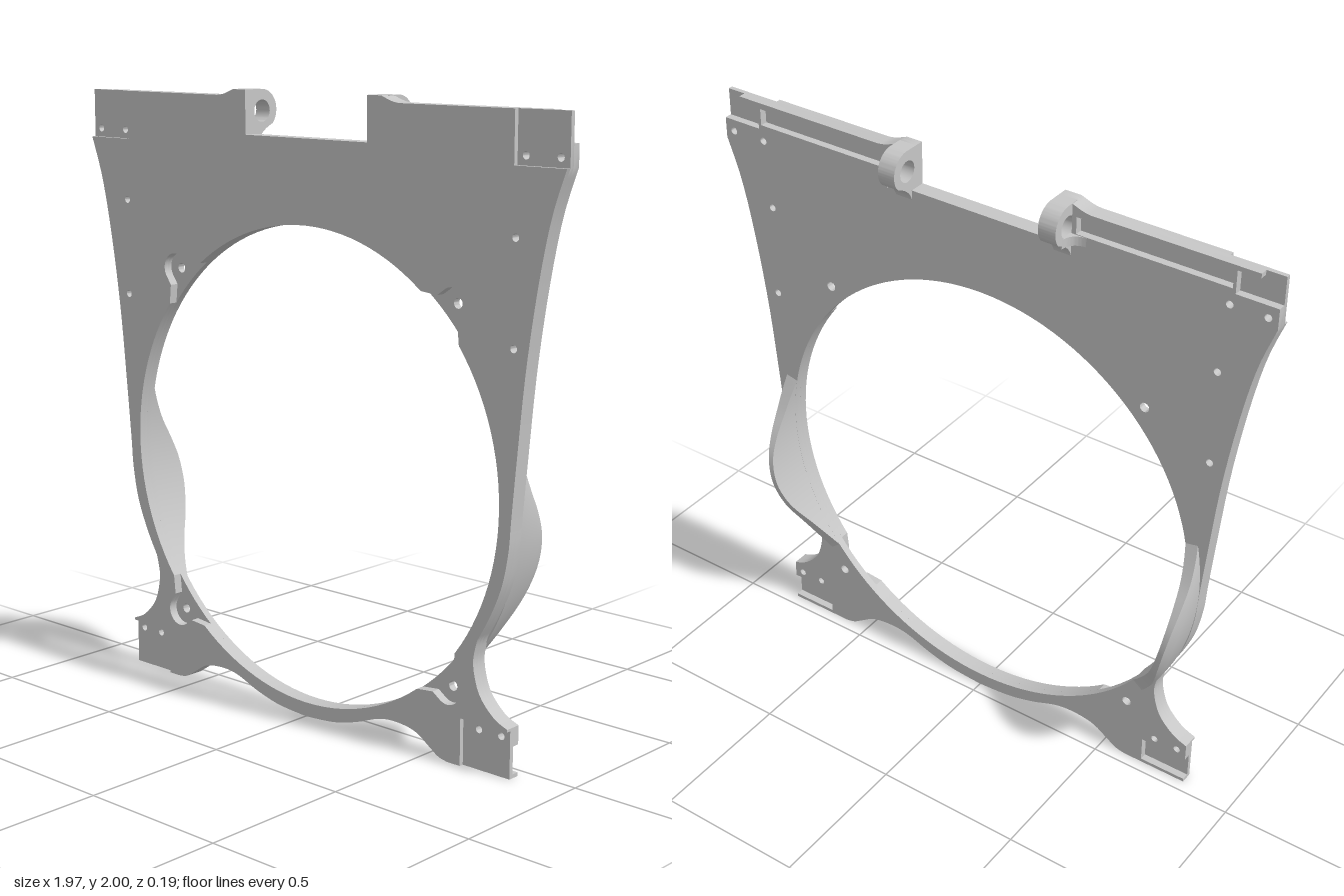
import * as THREE from 'three';
import { toCreasedNormals, mergeVertices } from 'three/addons/utils/BufferGeometryUtils.js';

const V = (x, y) => new THREE.Vector2(x, y);
const CY = 0.82, R = 0.773; // centre height and radius of the round opening

const spline = (pts, n = 24) => new THREE.SplineCurve(pts.map(p => V(...p))).getPoints(n);
const line = pts => pts.map(p => V(...p));

// Right half of the outline, in pieces around the foot and the top corner
const bottomCurve = spline([[0, 0], [0.12, 0.01], [0.22, 0.035], [0.31, 0.068], [0.38, 0.077],
  [0.46, 0.066], [0.52, 0.03], [0.555, 0.008], [0.59, 0]], 36);
const sideCurve = [
  ...spline([[0.818, 0.16], [0.765, 0.185], [0.71, 0.245], [0.686, 0.33], [0.694, 0.39]], 16),
  ...spline([[0.7, 0.41], [0.745, 0.49], [0.787, 0.59], [0.81, 0.7], [0.818, 0.8], [0.836, 1.0],
    [0.86, 1.24], [0.896, 1.48], [0.938, 1.68], [0.987, 1.822]], 32)];

function outline(foot, corner, lug) {
  const half = [...bottomCurve, ...line(foot), ...sideCurve, ...line(corner),
    ...spline([[0.38, 1.98], [0.35, 1.985], [0.31, 2.0]], 5), ...line(lug)];
  const mirrored = half.slice(1).reverse().map(p => V(-p.x, p.y));
  return new THREE.Shape([...half, ...mirrored]);
}

// Round opening, optionally widened by four boss pockets
function opening(pockets) {
  const pts = [];
  if (!pockets) {
    for (let i = 0; i < 128; i++) {
      const a = i / 128 * Math.PI * 2;
      pts.push(V(R * Math.cos(a), CY + R * Math.sin(a)));
    }
    return new THREE.Path(pts);
  }
  const profile = [[0.792, -0.072], [0.806, -0.055]];
  for (let i = 0; i <= 12; i++) {
    const a = -Math.PI / 2 + 0.25 * (1 - i / 6) + i / 12 * Math.PI;
    profile.push([0.831 + 0.05 * Math.cos(a), 0.05 * Math.sin(a)]);
  }
  profile.push([0.806, 0.055], [0.792, 0.072]);
  for (let q = 0; q < 4; q++) {
    const mid = Math.PI / 4 + q * Math.PI / 2, c = Math.cos(mid), s = Math.sin(mid);
    for (const [r, t] of profile) pts.push(V(r * c - t * s, CY + r * s + t * c));
    for (let i = 0; i <= 26; i++) {
      const a = mid + 0.135 + (Math.PI / 2 - 0.27) * i / 26;
      pts.push(V(R * Math.cos(a), CY + R * Math.sin(a)));
    }
  }
  return new THREE.Path(pts);
}

function drill(shape, spots, r) {
  for (const [x, y] of spots) for (const s of [1, -1])
    shape.holes.push(new THREE.Path().absarc(s * x, y, r, 0, Math.PI * 2, true));
}

function extrude(shape, depth) {
  const g = new THREE.ExtrudeGeometry(shape, { depth, bevelEnabled: false, curveSegments: 16 });
  return toCreasedNormals(g, 0.5);
}

// Raised guard behind the rim, swept along the opening with a bell-shaped height
function guardGeometry() {
  const crest = new THREE.SplineCurve(line([[0.33, 0.04], [0.38, 0.015], [0.44, -0.018],
    [0.52, -0.065], [0.59, -0.089], [0.65, -0.095], [0.72, -0.084], [0.79, -0.053],
    [0.86, -0.013], [0.92, 0.015], [0.98, 0.04]]));
  const N = 48, K = 5, pos = [], idx = [];
  for (let i = 0; i <= N; i++) {
    const { x: y, y: z } = crest.getPoint(i / N);
    const a = Math.asin((y - CY) / 0.79), h = (0.043 - z) / 0.138;
    const section = [[R, 0.043], [R + 0.012 * h, z], [0.817 - 0.014 * h, z],
      [0.817, 0.043 - 0.1 * h], [0.817, 0.043]];
    for (const [r, d] of section) pos.push(r * Math.cos(a), CY + r * Math.sin(a), d);
    if (i < N) for (let k = 0; k < K; k++) {
      const A = i * K + k, B = i * K + (k + 1) % K;
      idx.push(A, A + K, B, B, A + K, B + K);
    }
  }
  const e = N * K;
  for (let k = 1; k < K - 1; k++) idx.push(0, k, k + 1, e, e + k + 1, e + k);
  const g = new THREE.BufferGeometry();
  g.setAttribute('position', new THREE.Float32BufferAttribute(pos, 3));
  g.setIndex(idx);
  return toCreasedNormals(g, 0.6);
}

// Hinge eye profile, drawn with z across and y up
function lugGeometry() {
  const s = new THREE.Shape();
  s.moveTo(-0.066, 1.82);
  s.lineTo(-0.066, 2.0);
  s.lineTo(-0.02, 2.0);
  s.absarc(-0.02, 1.935, 0.065, Math.PI / 2, -0.75, true);
  s.quadraticCurveTo(-0.035, 1.865, -0.042, 1.82);
  s.closePath();
  s.holes.push(new THREE.Path().absarc(-0.02, 1.932, 0.035, 0, Math.PI * 2, true));
  return extrude(s, 0.06).rotateY(Math.PI / 2);
}

// Curved web between the hinge eye and the plate, drawn in x and z
function filletGeometry() {
  const s = new THREE.Shape();
  s.moveTo(0.31, -0.045);
  s.lineTo(0.365, -0.045);
  s.lineTo(0.365, -0.04);
  s.quadraticCurveTo(0.317, -0.036, 0.315, 0.01);
  s.lineTo(0.31, 0.01);
  s.closePath();
  return extrude(s, 0.03).rotateX(-Math.PI / 2).translate(0, 1.873, 0);
}

// Mirrors a geometry across x and restores the face order
function mirrorX(geometry) {
  const g = mergeVertices(geometry.clone().scale(-1, 1, 1)), ix = g.index.array;
  for (let i = 0; i < ix.length; i += 3) [ix[i], ix[i + 1]] = [ix[i + 1], ix[i]];
  g.deleteAttribute('normal');
  return toCreasedNormals(g, 0.5);
}

export function createModel() {
  const model = new THREE.Group();
  model.name = 'mountingFrame';
  const grey = new THREE.MeshStandardMaterial({ color: 0xc6c6c6, side: THREE.DoubleSide });
  grey.name = 'lightGrey';
  const add = (name, geometry, z = 0) => {
    const m = new THREE.Mesh(geometry, grey);
    m.name = name;
    m.position.z = z;
    model.add(m);
  };

  const sideHoles = [[0.815, 1.62], [0.815, 1.302]];
  const padHoles = [[0.955, 1.851], [0.835, 1.851], [0.7, 0.128], [0.785, 0.128]];
  const bossHoles = [[0.587, 1.407], [0.587, 0.235]];
  const fullFoot = [[0.818, 0], [0.818, 0.155]], fullCorner = [[0.987, 1.98]];
  const notch = [[0.255, 2.0], [0.255, 1.86]];

  // Back layer: foot pockets with a lower lip, corner pockets and rod grooves cut in
  const back = outline([[0.818, 0], [0.818, 0.012], [0.655, 0.012], [0.655, 0.1], [0.818, 0.1]],
    [[0.987, 1.89], [0.85, 1.89], [0.85, 1.965], [0.923, 1.965], [0.923, 1.98]],
    [[0.315, 2.0], [0.315, 1.87], [0.255, 1.87], [0.255, 1.86]]);
  back.holes.push(opening(false));
  for (const s of [1, -1])
    back.holes.push(new THREE.Path(line([[s * 0.33, 1.905], [s * 0.84, 1.905], [s * 0.84, 1.96], [s * 0.33, 1.96]])));
  drill(back, [...sideHoles, ...padHoles], 0.012);
  drill(back, bossHoles, 0.016);
  add('backLayer', extrude(back, 0.025), 0.04);

  // Middle layer: floor of the front pad recesses
  const middle = outline(fullFoot, fullCorner, notch);
  middle.holes.push(opening(true));
  drill(middle, [...sideHoles, ...padHoles], 0.012);
  add('middleLayer', extrude(middle, 0.015), 0.065);

  // Front layer: open around the corner and foot pads
  const front = outline([[0.64, 0], [0.64, 0.152], [0.818, 0.152]],
    [[0.805, 1.822], [0.805, 1.98]], notch);
  front.holes.push(opening(true));
  drill(front, sideHoles, 0.012);
  add('frontLayer', extrude(front, 0.015), 0.08);

  // Paired hinge eyes, webs and rim guards
  const pairs = {
    HingeEye: lugGeometry().translate(0.255, 0, 0),
    HingeWeb: filletGeometry(),
    RimGuard: guardGeometry(),
  };
  for (const [name, geometry] of Object.entries(pairs)) {
    add('left' + name, geometry);
    add('right' + name, mirrorX(geometry));
  }
  return model;
}
